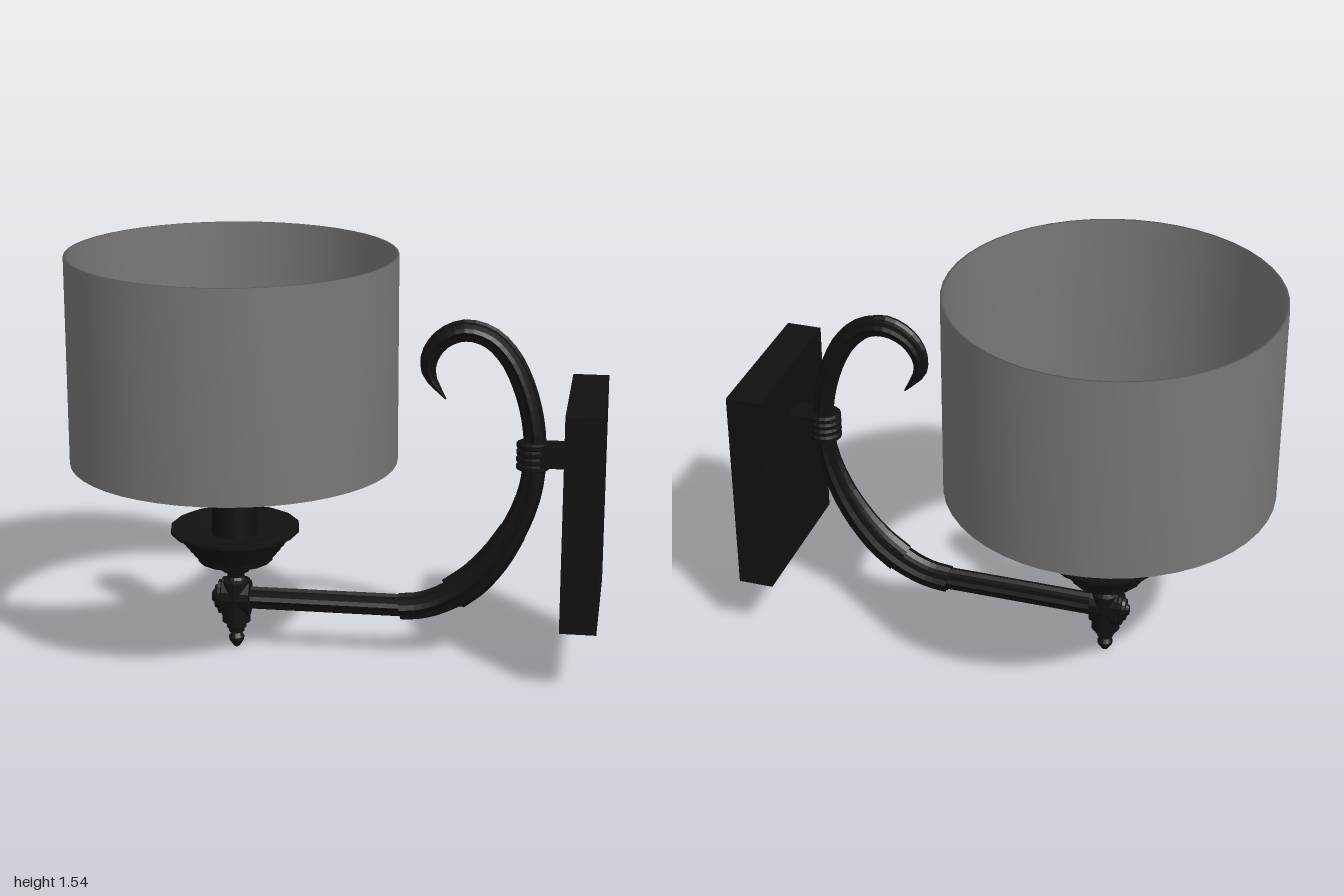
import * as THREE from 'three';

const metal = new THREE.MeshStandardMaterial({ color: 0x111111, side: THREE.DoubleSide });
const metalFlat = new THREE.MeshStandardMaterial({ color: 0x111111, side: THREE.DoubleSide, flatShading: true });
const cloth = new THREE.MeshStandardMaterial({ color: 0x777777, side: THREE.DoubleSide });

const LAMP_X = -0.383;

function add(group, name, geometry, material, x = 0, y = 0, z = 0) {
  const mesh = new THREE.Mesh(geometry, material);
  mesh.name = name;
  mesh.position.set(x, y, z);
  group.add(mesh);
  return mesh;
}

function lathe(points, sides) {
  return new THREE.LatheGeometry(points.map(([r, y]) => new THREE.Vector2(r, y)), sides);
}

// Ribbed tube in the XY plane: each key is [x, y, radius]
function flutedTube(keys, steps, lobes, zScale = 1) {
  const path = new THREE.CatmullRomCurve3(keys.map(k => new THREE.Vector3(k[0], k[1], 0)), false, 'centripetal');
  const sides = lobes * 2, pos = [], idx = [];
  for (let i = 0; i <= steps; i++) {
    const t = i / steps, f = t * (keys.length - 1);
    const k = Math.min(Math.floor(f), keys.length - 2);
    const radius = THREE.MathUtils.lerp(keys[k][2], keys[k + 1][2], f - k);
    const p = path.getPoint(t), d = path.getTangent(t);
    for (let j = 0; j < sides; j++) {
      const a = (j / sides) * Math.PI * 2, r = radius * (j % 2 ? 0.86 : 1);
      const n = Math.cos(a) * r;
      pos.push(p.x - d.y * n, p.y + d.x * n, Math.sin(a) * r * zScale);
      if (i < steps) {
        const a0 = i * sides + j, a1 = i * sides + (j + 1) % sides;
        idx.push(a0, a1, a0 + sides, a1, a1 + sides, a0 + sides);
      }
    }
  }
  // End caps
  for (const [ring, flip] of [[0, true], [steps, false]]) {
    const s = ring * sides;
    for (let j = 1; j < sides - 1; j++) {
      idx.push(s, s + (flip ? j + 1 : j), s + (flip ? j : j + 1));
    }
  }
  const g = new THREE.BufferGeometry();
  g.setAttribute('position', new THREE.Float32BufferAttribute(pos, 3));
  g.setIndex(idx);
  g.computeVertexNormals();
  return g;
}

export function createModel() {
  const lamp = new THREE.Group();
  lamp.name = 'wallLamp';

  // Drum shade: thin double wall, open at top and bottom
  add(lamp, 'shade', lathe([
    [0.604, 0.762], [0.615, 0.762], [0.615, 1.545], [0.604, 1.545], [0.604, 0.762],
  ], 48), cloth, LAMP_X);

  // Candle sleeve
  add(lamp, 'candleSleeve', new THREE.CylinderGeometry(0.088, 0.088, 0.64, 24), metal, LAMP_X, 0.78);

  // Stepped drip dish
  const dish = [[0, 0.362], [0.142, 0.362], [0.145, 0.38]];
  for (let i = 0; i < 5; i++) {
    const r = 0.157 + i * 0.015, y = 0.385 + i * 0.019;
    dish.push([r, y], [r + 0.007, y + 0.016]);
  }
  dish.push([0.246, 0.479], [0.246, 0.491], [0.2, 0.487], [0.12, 0.465], [0, 0.465]);
  add(lamp, 'dripDish', lathe(dish, 16), metalFlat, LAMP_X).scale.z = 1.07;

  // Neck, hub and hanging finial
  add(lamp, 'hubAndFinial', lathe([
    [0, 0], [0.012, 0.008], [0.028, 0.032], [0.03, 0.045], [0.02, 0.062], [0.03, 0.068], [0.03, 0.08],
    [0.038, 0.085], [0.038, 0.108], [0.055, 0.11], [0.055, 0.275], [0.04, 0.282], [0.032, 0.292],
    [0.034, 0.305], [0.053, 0.315], [0.058, 0.335], [0.053, 0.35], [0.06, 0.363],
  ], 16), metalFlat, LAMP_X);

  // Round button on the outer side of the hub, facing -x
  const button = add(lamp, 'hubButton', lathe([
    [0.08, 0], [0.08, 0.05], [0.068, 0.055], [0.068, 0.066], [0.05, 0.068],
    [0.045, 0.08], [0.028, 0.082], [0.02, 0.092], [0, 0.094],
  ], 16), metalFlat, LAMP_X, 0.205);
  button.rotation.z = Math.PI / 2;
  button.scale.z = 0.68;
  const socket = add(lamp, 'armSocket', new THREE.CylinderGeometry(0.07, 0.07, 0.055, 16), metalFlat, LAMP_X + 0.028, 0.205);
  socket.rotation.z = Math.PI / 2;
  socket.scale.z = 0.78;

  // Straight reeded arm
  add(lamp, 'straightArm', flutedTube([[-0.325, 0.205, 0.045], [0.27, 0.205, 0.045]], 2, 8, 0.9), metalFlat);

  // Curved arm ending in a tapering hook
  add(lamp, 'curvedArm', flutedTube([
    [0.25, 0.2, 0.054], [0.33, 0.21, 0.054], [0.42, 0.245, 0.055], [0.52, 0.315, 0.058],
    [0.61, 0.42, 0.056], [0.68, 0.54, 0.05], [0.73, 0.68, 0.045], [0.745, 0.82, 0.042],
    [0.735, 0.95, 0.042], [0.7, 1.08, 0.042], [0.645, 1.19, 0.042], [0.57, 1.262, 0.042],
    [0.48, 1.283, 0.042], [0.4, 1.25, 0.038], [0.353, 1.185, 0.034], [0.35, 1.115, 0.026], [0.412, 1.022, 0.003],
  ], 44, 8, 0.95), metalFlat);

  // Overlapping leaf sheath on the bend
  add(lamp, 'leafSheath', flutedTube([
    [0.45, 0.262, 0.068], [0.53, 0.325, 0.066], [0.61, 0.42, 0.06], [0.67, 0.52, 0.053],
  ], 8, 8, 0.75), metalFlat);

  // Ribbed clasp holding the arm to the wall plate
  const ribs = [[0, 0.765]];
  for (let i = 0; i < 4; i++) {
    const y = 0.765 + i * 0.0275;
    ribs.push([0.05, y], [0.062, y + 0.006], [0.062, y + 0.02], [0.05, y + 0.0265]);
  }
  ribs.push([0, 0.875]);
  add(lamp, 'ribbedClasp', lathe(ribs, 16), metalFlat, 0.738);
  add(lamp, 'claspBar', new THREE.BoxGeometry(0.12, 0.08, 0.1), metal, 0.825, 0.825);

  // Wall plate with a recessed back
  const w = 0.305, h = 0.408, plateY = 0.648;
  const outline = (a, b, Type) => new Type([[-a, -b], [a, -b], [a, b], [-a, b]].map(([x, y]) => new THREE.Vector2(x, y)));
  const rim = outline(w, h, THREE.Shape);
  rim.holes.push(outline(w - 0.07, h - 0.07, THREE.Path));
  const rimMesh = add(lamp, 'wallPlateRim', new THREE.ExtrudeGeometry(rim, { depth: 0.07, bevelEnabled: false }), metal, 0.93, plateY);
  rimMesh.rotation.y = Math.PI / 2;
  add(lamp, 'wallPlate', new THREE.BoxGeometry(0.066, h * 2, w * 2), metal, 0.898, plateY);
  add(lamp, 'mountingNut', new THREE.BoxGeometry(0.03, 0.1, 0.1), metal, 0.94, 0.825);

  return lamp;
}
